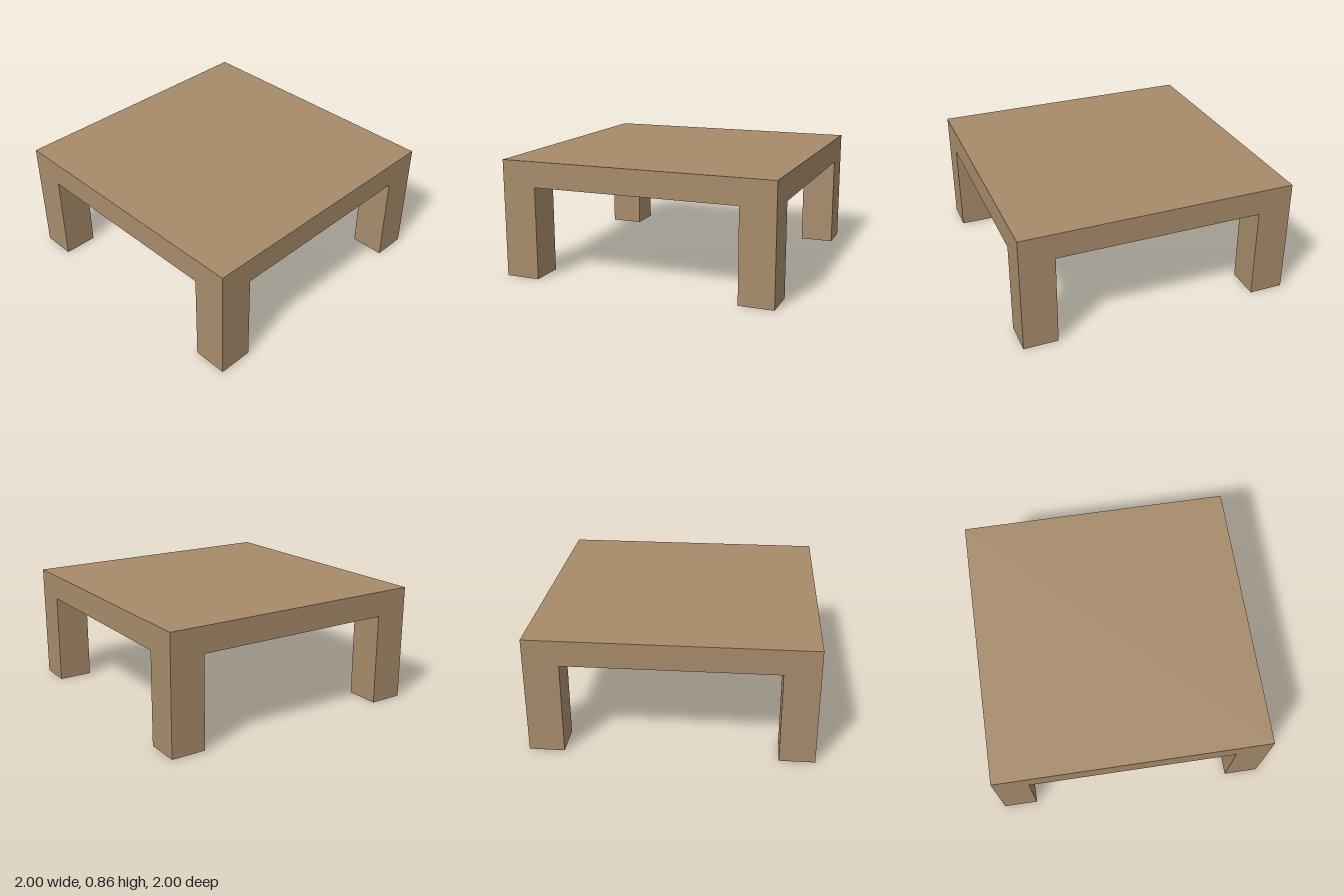
import * as THREE from 'three';

const SIZE = 2, HEIGHT = 0.855, SLAB = 0.185, LEG = 0.25;

export function createModel() {
  const model = new THREE.Group();
  model.name = 'table';
  const wood = new THREE.MeshStandardMaterial({ color: 0xa78b6a });
  wood.name = 'wood';

  const addBox = (name, w, h, d, x, y, z) => {
    const mesh = new THREE.Mesh(new THREE.BoxGeometry(w, h, d), wood);
    mesh.name = name;
    mesh.position.set(x, y, z);
    model.add(mesh);
  };

  // Thick square top
  addBox('tabletop', SIZE, SLAB, SIZE, 0, HEIGHT - SLAB / 2, 0);

  // Four square legs, flush with the corners
  const legHeight = HEIGHT - SLAB;
  const offset = (SIZE - LEG) / 2;
  for (const [side, sx] of [['Left', 1], ['Right', -1]]) {
    for (const [end, sz] of [['front', 1], ['back', -1]]) {
      addBox(`${end}${side}Leg`, LEG, legHeight, LEG, sx * offset, legHeight / 2, sz * offset);
    }
  }
  return model;
}
